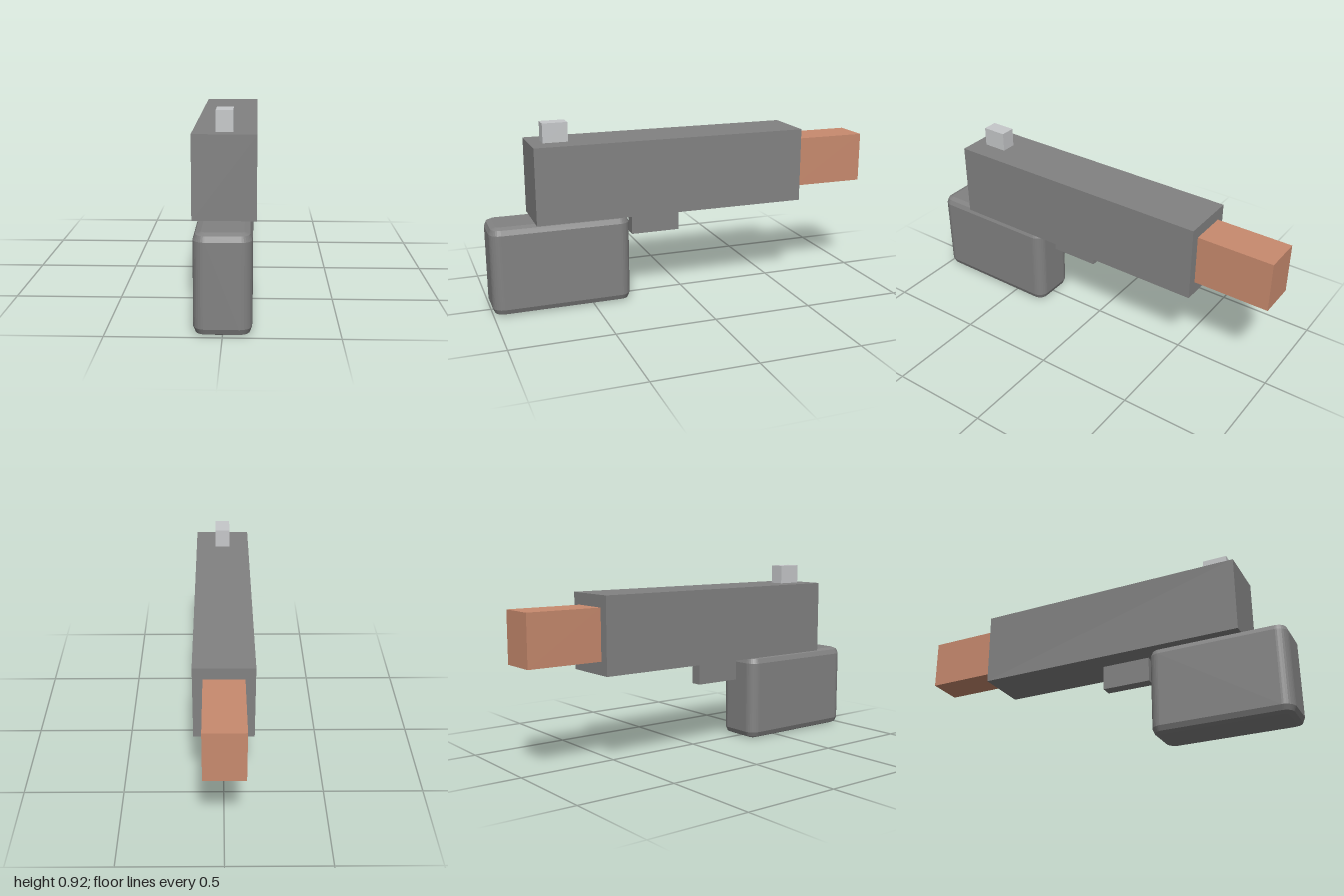
import * as THREE from 'three';

const material = (name, color) => {
  const m = new THREE.MeshStandardMaterial({ color });
  m.name = name;
  return m;
};

export function createModel() {
  const model = new THREE.Group();
  const grey = material('grey', 0x828282);
  const silver = material('silver', 0xc6c8ca);
  const copper = material('copper', 0xc88a6e);

  // Box centred on x, given its width and its y and z ranges
  const box = (name, mat, width, [y0, y1], [z0, z1]) => {
    const mesh = new THREE.Mesh(new THREE.BoxGeometry(width, y1 - y0, z1 - z0), mat);
    mesh.name = name;
    mesh.position.set(0, (y0 + y1) / 2, (z0 + z1) / 2);
    model.add(mesh);
  };

  box('body', grey, 0.284, [0.447, 0.826], [-0.618, 0.778]);
  box('muzzle', copper, 0.19, [0.513, 0.767], [-1, -0.618]);
  box('rearSight', silver, 0.076, [0.826, 0.922], [0.59, 0.714]);
  box('trigger', grey, 0.06, [0.321, 0.447], [0.02, 0.272]);

  // Grip: rounded rectangle, extruded upwards with a rounded bevel
  const bevel = 0.035, r = 0.02;
  const w = 0.125 - bevel, l = 0.3475 - bevel;
  const outline = new THREE.Shape();
  outline.absarc(w - r, l - r, r, 0, Math.PI / 2);
  outline.absarc(-w + r, l - r, r, Math.PI / 2, Math.PI);
  outline.absarc(-w + r, -l + r, r, Math.PI, Math.PI * 1.5);
  outline.absarc(w - r, -l + r, r, Math.PI * 1.5, Math.PI * 2);
  outline.closePath();
  const gripGeometry = new THREE.ExtrudeGeometry(outline, {
    depth: 0.446 - 2 * bevel,
    curveSegments: 4,
    bevelEnabled: true,
    bevelSize: bevel,
    bevelThickness: bevel,
    bevelSegments: 2,
  });
  gripGeometry.rotateX(-Math.PI / 2);
  const grip = new THREE.Mesh(gripGeometry, grey);
  grip.name = 'grip';
  grip.position.set(0, bevel, 0.6525);
  model.add(grip);

  return model;
}
